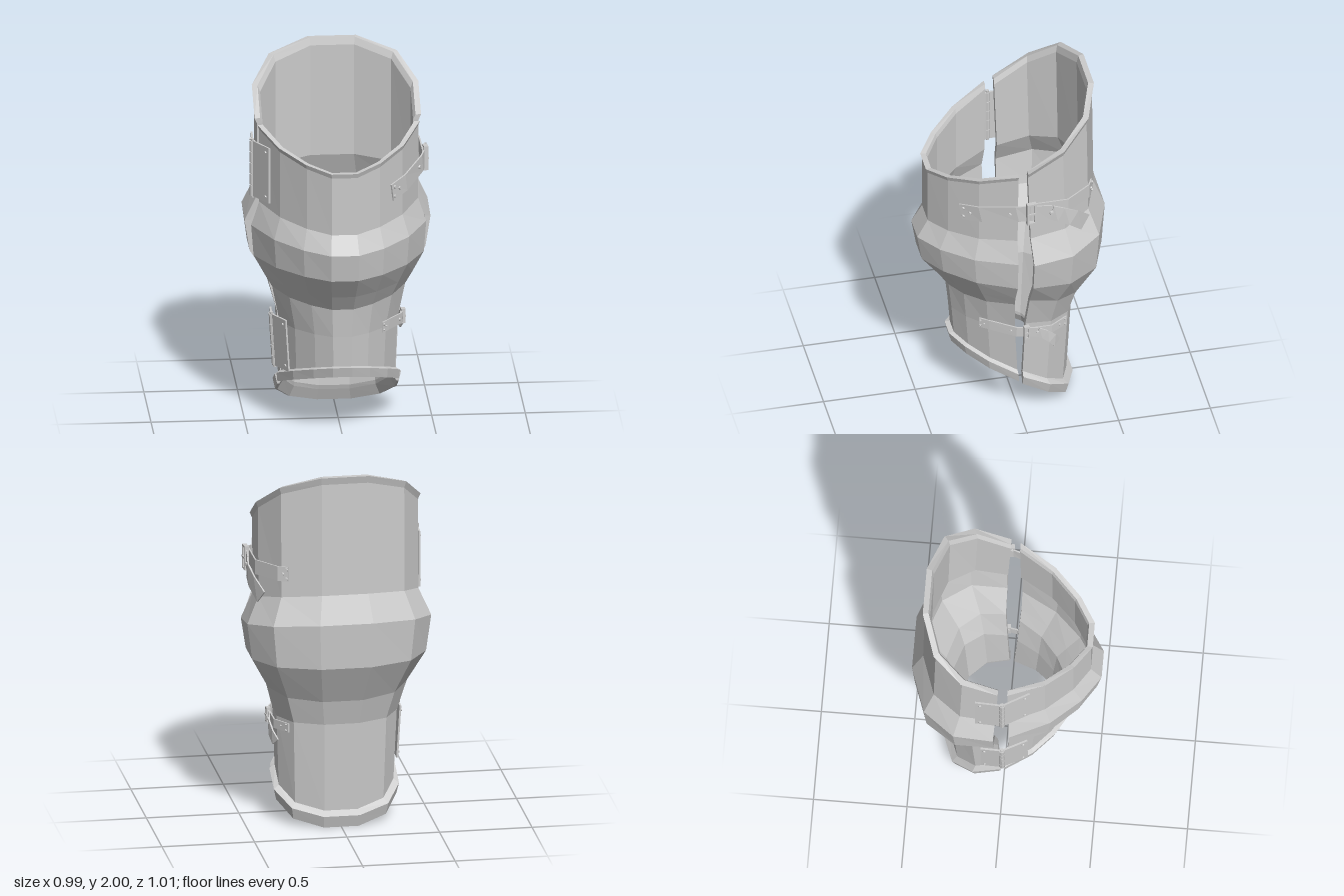
import * as THREE from 'three';

const material = new THREE.MeshStandardMaterial({ color: 0xcccccc, flatShading: true });
const V = (x, y, z) => new THREE.Vector3(x, y, z);

function meshFrom(name, positions, indices) {
  const g = new THREE.BufferGeometry();
  g.setAttribute('position', new THREE.Float32BufferAttribute(positions, 3));
  g.setIndex(indices);
  g.computeVertexNormals();
  const m = new THREE.Mesh(g, material);
  m.name = name;
  return m;
}

// Thick half shell. Each ring: [y at seam, y at middle, half width, depth, seam z, wall]
function halfShell(name, rings, outline, dir, bend) {
  const n = rings.length;
  const pts = [...outline, ...outline.map(([x, z]) => [-x, z]).reverse()];
  const loop = [
    ...rings,
    ...rings.map(([a, b, w, d, s, wall = 0.03]) => [a, b, w - wall, d - wall, s]).reverse(),
  ];
  const pos = [], idx = [], cols = pts.length;
  for (const [ys, ym, w, d, s] of loop)
    for (const [x, t] of pts)
      pos.push(dir * x * w, ys + (ym - ys) * Math.pow(t, bend), dir * (s + t * (d - s)));
  const at = (j, i) => (j % (2 * n)) * cols + i;
  for (let j = 0; j < 2 * n; j++)
    for (let i = 0; i < cols - 1; i++) {
      const a = at(j, i), b = at(j + 1, i), c = at(j, i + 1), d = at(j + 1, i + 1);
      idx.push(a, c, b, c, d, b);
    }
  // seam edges
  for (let j = 0; j < n - 1; j++)
    for (const i of [0, cols - 1]) {
      const a = at(j, i), b = at(j + 1, i), c = at(2 * n - 1 - j, i), d = at(2 * n - 2 - j, i);
      if (i === 0) idx.push(a, b, c, b, d, c);
      else idx.push(a, c, b, b, c, d);
    }
  return meshFrom(name, pos, idx);
}

// Flat band swept along a path, standing upright
function ribbon(name, path, width, thick = 0.008) {
  const pos = [], idx = [], n = path.length;
  path.forEach((p, k) => {
    const t = path[Math.min(k + 1, n - 1)].clone().sub(path[Math.max(k - 1, 0)]).normalize();
    const out = V(0, 1, 0).cross(t).normalize();
    const up = t.clone().cross(out);
    for (const [u, o] of [[1, 1], [-1, 1], [-1, -1], [1, -1]])
      pos.push(...p.clone().addScaledVector(up, u * width / 2).addScaledVector(out, o * thick / 2).toArray());
  });
  for (let k = 0; k < n - 1; k++)
    for (let c = 0; c < 4; c++) {
      const a = k * 4 + c, b = k * 4 + (c + 1) % 4;
      idx.push(a, a + 4, b, b, a + 4, b + 4);
    }
  const e = (n - 1) * 4;
  idx.push(0, 1, 2, 0, 2, 3, e, e + 2, e + 1, e, e + 3, e + 2);
  return meshFrom(name, pos, idx);
}

function rivet(p, out, r) {
  const m = new THREE.Mesh(new THREE.CylinderGeometry(r * 0.7, r, 0.01, 8), material);
  m.name = 'rivet';
  m.position.copy(p);
  m.quaternion.setFromUnitVectors(V(0, 1, 0), out.clone().normalize());
  return m;
}

// Rectangular buckle frame with a prong, facing +x
function buckle(p, h, w) {
  const g = new THREE.Group();
  g.name = 'buckle';
  const rect = (path, a, b) => path.moveTo(-a, -b).lineTo(a, -b).lineTo(a, b).lineTo(-a, b).closePath();
  const shape = rect(new THREE.Shape(), w / 2, h / 2);
  shape.holes.push(rect(new THREE.Path(), w / 2 - 0.01, h / 2 - 0.01));
  const frame = new THREE.Mesh(
    new THREE.ExtrudeGeometry(shape, { depth: 0.024, bevelEnabled: false }), material);
  frame.name = 'buckleFrame';
  const prong = new THREE.Mesh(new THREE.BoxGeometry(w, 0.01, 0.008), material);
  prong.name = 'buckleProng';
  prong.position.z = 0.022;
  g.add(frame, prong);
  g.position.copy(p);
  g.rotation.y = Math.PI / 2 + 0.1;
  return g;
}

function strap(name, front, tail, back, width, r) {
  const g = new THREE.Group();
  g.name = name;
  g.add(ribbon('frontStrap', front, width));
  g.add(ribbon('strapTail', [front[front.length - 1], ...tail], width * 0.95));
  g.add(ribbon('backStrap', back, width * 0.85));
  // rivets at the fixed ends
  for (const [end, next] of [[front[0], front[1]], [back[back.length - 1], back[back.length - 2]]]) {
    const out = V(next.z - end.z, 0, end.x - next.x);
    if (out.x < 0) out.negate();
    out.normalize();
    for (const [f, s] of [[0.15, 1], [0.15, -1], [0.5, 0]])
      g.add(rivet(end.clone().lerp(next, f).add(V(0, s * width * 0.27, 0)).addScaledVector(out, 0.006), out, r));
  }
  // studs on the band and beside the buckle
  g.add(rivet(front[1].clone().lerp(front[2], 0.8).add(V(0.005, 0, 0.003)), V(1, 0, 0.5), r * 1.3));
  const last = front[front.length - 1];
  g.add(rivet(last.clone().add(V(0.007, 0, 0)), V(1, 0, 0), r * 1.4));
  g.add(buckle(front[front.length - 2].clone().add(V(-0.008, 0, 0)), width * 1.4, width * 0.55));
  return g;
}

// Two leaves, a pin with knuckles, and corner rivets
function hinge(name, pin, frontEnd, backEnd, height, lean) {
  const g = new THREE.Group();
  g.name = name;
  const centre = V(pin.x, 0, pin.z);
  for (const [leaf, end] of [['frontLeaf', frontEnd], ['backLeaf', backEnd]]) {
    g.add(ribbon(leaf, [centre, end], height, 0.01));
    const out = V(-Math.abs(end.z - pin.z), 0, Math.sign(end.z) * (end.x - pin.x)).normalize();
    for (const y of [-0.4, 0.4])
      g.add(rivet(centre.clone().lerp(end, 0.82).add(V(0, y * height, 0)).addScaledVector(out, 0.007), out, 0.009));
  }
  for (let k = 0; k < 5; k++) {
    const m = new THREE.Mesh(new THREE.CylinderGeometry(0.015, 0.015, height / 5 - 0.004, 8), material);
    m.name = 'hingeKnuckle';
    m.position.set(pin.x, (k - 2) * height / 5, pin.z);
    g.add(m);
  }
  const rod = new THREE.Mesh(new THREE.CylinderGeometry(0.009, 0.009, height + 0.02, 8), material);
  rod.name = 'hingePin';
  rod.position.copy(centre);
  g.add(rod);
  g.position.y = pin.y;
  g.rotation.z = lean;
  return g;
}

export function createModel() {
  const model = new THREE.Group();
  model.name = 'limbGuard';

  model.add(halfShell('frontShell', [
    [1.67, 1.525, 0.435, 0.457, 0.03],
    [1.645, 1.5, 0.425, 0.449, 0.03],
    [1.24, 1.18, 0.425, 0.447, 0.035],
    [1.11, 1.08, 0.468, 0.505, 0.04],
    [0.94, 0.93, 0.455, 0.48, 0.04],
    [0.83, 0.81, 0.395, 0.39, 0.04],
    [0.76, 0.72, 0.355, 0.33, 0.035],
    [0.56, 0.56, 0.315, 0.313, 0.025],
    [0.28, 0.39, 0.305, 0.3, 0.01],
    [0.265, 0.39, 0.33, 0.328, 0.008, 0.055],
    [0.215, 0.335, 0.325, 0.315, 0.005, 0.012],
  ], [[1, 0], [0.77, 0.46], [0.46, 0.8], [0.16, 1]], 1, 1));

  model.add(halfShell('backShell', [
    [1.69, 2.0, 0.445, 0.447, 0.02],
    [1.66, 1.96, 0.432, 0.437, 0.02],
    [1.25, 1.34, 0.432, 0.445, 0.035],
    [1.11, 1.19, 0.497, 0.503, 0.042],
    [0.94, 0.94, 0.47, 0.487, 0.042],
    [0.79, 0.72, 0.375, 0.37, 0.042],
    [0.6, 0.58, 0.325, 0.332, 0.03],
    [0.27, 0.09, 0.31, 0.305, 0.018],
    [0.25, 0.065, 0.338, 0.338, 0.016, 0.055],
    [0.195, 0.0, 0.325, 0.32, 0.015, 0.012],
  ], [[1, 0], [1, 0.46], [0.77, 0.82], [0.29, 1]], -1, 1.2));

  // Straps close the left side
  model.add(strap('upperStrap',
    [V(0.265, 1.365, 0.31), V(0.345, 1.39, 0.22), V(0.445, 1.435, 0.04), V(0.465, 1.445, -0.03), V(0.475, 1.44, -0.14)],
    [V(0.485, 1.425, -0.19), V(0.475, 1.385, -0.26), V(0.435, 1.315, -0.33)],
    [V(0.452, 1.455, -0.01), V(0.45, 1.455, -0.235), V(0.352, 1.455, -0.37), V(0.3, 1.455, -0.395)], 0.095, 0.01));
  model.add(strap('lowerStrap',
    [V(0.222, 0.57, 0.2), V(0.258, 0.57, 0.15), V(0.336, 0.56, 0.02), V(0.345, 0.557, -0.03), V(0.35, 0.552, -0.09)],
    [V(0.358, 0.535, -0.13), V(0.355, 0.5, -0.17), V(0.335, 0.455, -0.2)],
    [V(0.338, 0.55, -0.02), V(0.338, 0.55, -0.17), V(0.275, 0.55, -0.265)], 0.058, 0.007));

  // Hinges join the right side
  model.add(hinge('upperHinge', V(-0.458, 1.42, 0.005), V(-0.378, 0, 0.145), V(-0.452, 0, -0.14), 0.31, 0));
  model.add(hinge('lowerHinge', V(-0.348, 0.47, -0.005), V(-0.28, 0, 0.125), V(-0.345, 0, -0.12), 0.29, 0.06));

  return model;
}
